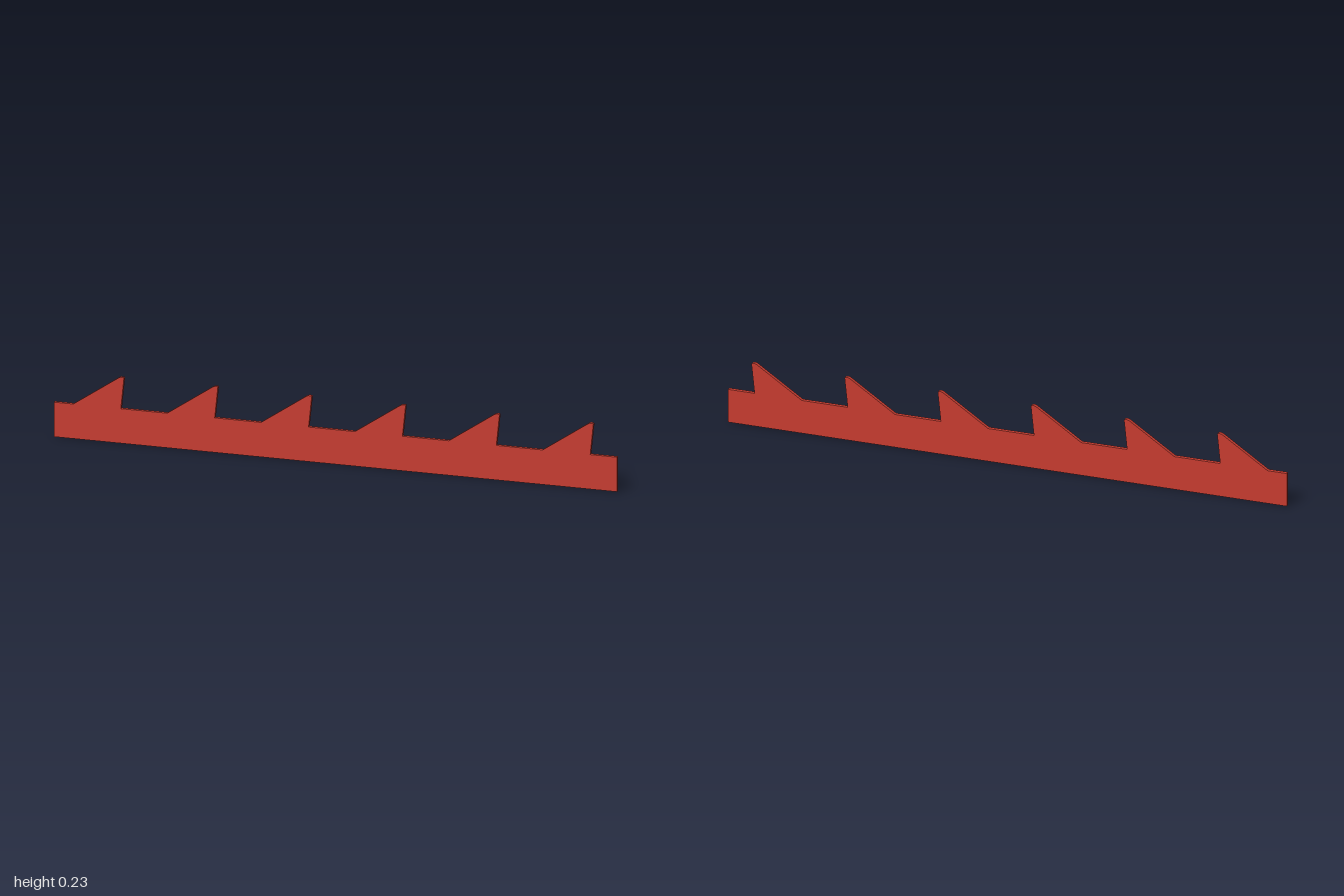
import * as THREE from 'three';

export function createModel() {
  const group = new THREE.Group();
  group.name = 'toothedStrip';
  const red = new THREE.MeshStandardMaterial({ color: 0xc83c30 });
  red.name = 'red';

  const teeth = 6, pitch = 2 / teeth, barTop = 0.122, tipTop = 0.233, depth = 0.013;

  // One outline: flat bar with forward-leaning teeth along the top
  const outline = new THREE.Shape();
  outline.moveTo(1, 0);
  outline.lineTo(1, barTop);
  for (let i = teeth - 1; i >= 0; i--) {
    const x = -1 + i * pitch;
    outline.lineTo(x + 0.238, barTop); // undercut foot
    outline.lineTo(x + 0.249, tipTop - 0.003);
    outline.lineTo(x + 0.247, tipTop); // blunted tip
    outline.lineTo(x + 0.237, tipTop);
    outline.lineTo(x + 0.23, tipTop - 0.003);
    outline.lineTo(x + 0.069, barTop); // foot of the ramp
  }
  outline.lineTo(-1, barTop);
  outline.lineTo(-1, 0);
  outline.closePath();

  const geometry = new THREE.ExtrudeGeometry(outline, { depth, bevelEnabled: false });
  geometry.translate(0, 0, -depth / 2);
  const strip = new THREE.Mesh(geometry, red);
  strip.name = 'sawtoothBar';
  group.add(strip);
  return group;
}
